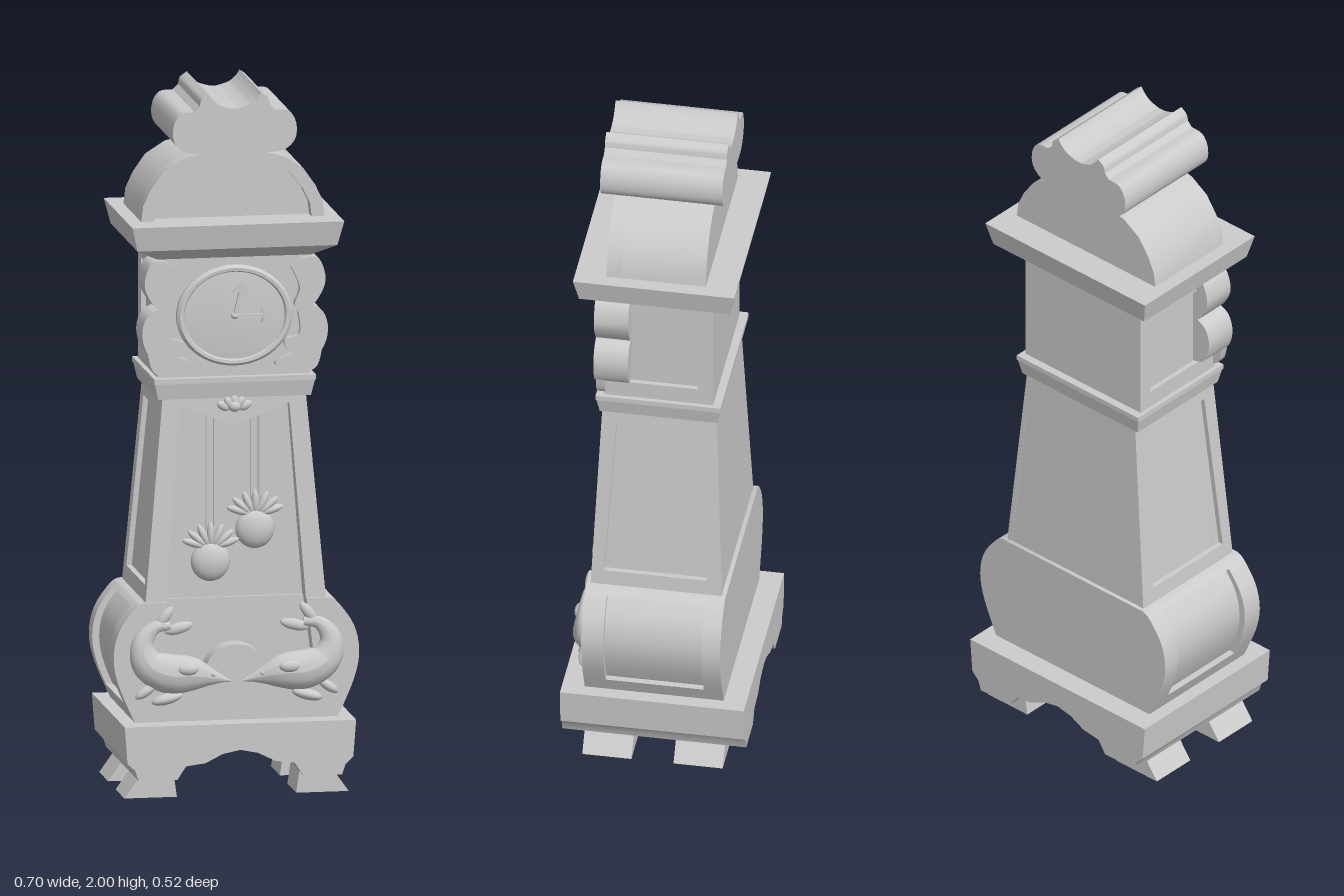
import * as THREE from 'three';
import { toCreasedNormals } from 'three/addons/utils/BufferGeometryUtils.js';

const material = new THREE.MeshStandardMaterial({ color: 0xcccccc, side: THREE.DoubleSide });
const lerp = THREE.MathUtils.lerp;
const V = (x, y, z) => new THREE.Vector3(x, y, z);
const poly = pts => new THREE.Shape(pts.map(p => new THREE.Vector2(p[0], p[1])));
const mirrored = pts => [...pts, ...pts.slice().reverse().map(([x, y]) => [-x, y])];
const smooth = (pts, n = 40) =>
  new THREE.SplineCurve(pts.map(p => new THREE.Vector2(p[0], p[1]))).getPoints(n).map(p => [p.x, p.y]);

export function createModel() {
  const root = new THREE.Group();

  const add = (name, geo, parent = root) => {
    const mesh = new THREE.Mesh(geo, material);
    mesh.name = name;
    parent.add(mesh);
    return mesh;
  };
  const remap = (geo, fn) => {
    const p = geo.attributes.position, v = V();
    for (let i = 0; i < p.count; i++) {
      fn(v.fromBufferAttribute(p, i));
      p.setXYZ(i, v.x, v.y, v.z);
    }
    geo.computeVertexNormals();
    return geo;
  };
  const extrude = (shape, z0, z1) => toCreasedNormals(
    new THREE.ExtrudeGeometry(shape, { depth: z1 - z0, bevelEnabled: false, curveSegments: 16 }).translate(0, 0, z0), 0.6);
  // Box whose bottom and top are given as [half width, front z, back z]
  const taper = (y0, y1, a, b) => remap(new THREE.BoxGeometry(2, 1, 1).toNonIndexed(), v => {
    const e = v.y > 0 ? b : a;
    v.set(v.x * e[0], v.y > 0 ? y1 : y0, v.z > 0 ? e[1] : e[2]);
  });
  // Side frame around a sunken panel; the outer face follows x = X(y)
  const sideFrame = (name, outer, hole, X, t) => {
    for (const s of [1, -1]) {
      const flip = pts => pts.map(([z, y]) => [-s * z, y]);
      const shape = poly(flip(outer));
      shape.holes.push(poly(flip(hole)));
      const geo = new THREE.ExtrudeGeometry(shape, { depth: t, bevelEnabled: false }).rotateY(s * Math.PI / 2);
      add(name, remap(geo, v => { v.x += s * (X(v.y) - t); }));
    }
  };
  const blob = (name, x, y, z, rx, ry, rz, turn = 0, parent = root) => {
    const m = add(name, new THREE.SphereGeometry(1, 20, 14), parent);
    m.position.set(x, y, z);
    m.scale.set(rx, ry, rz);
    m.rotation.z = turn;
    return m;
  };

  // Feet and arched base
  for (const s of [1, -1]) for (const z of [-0.2, 0.06])
    add('foot', extrude(poly([[0.17, 0], [0.32, 0], [0.27, 0.07], [0.18, 0.07]].map(([x, y]) => [s * x, y])), z, z + 0.14));
  add('base', extrude(poly(mirrored([
    [0, 0.14], [0.05, 0.13], [0.1, 0.105], [0.155, 0.098], [0.18, 0.06], [0.29, 0.06],
    [0.3, 0.09], [0.322, 0.11], [0.33, 0.215]])), -0.262, 0.262));

  // Bulging lower body with sunken sides and an open front
  const bulge = smooth([[0.29, 0.215], [0.335, 0.32], [0.35, 0.4], [0.335, 0.475], [0.29, 0.54], [0.265, 0.555]], 20);
  const inset = bulge.map(([x, y]) => [x - 0.02, y]);
  add('lowerBody', extrude(poly(mirrored(inset)), -0.15, 0.14));
  add('lowerBack', extrude(poly(mirrored(bulge)), -0.198, -0.145));
  const apron = [[0.2, 0.555], [0.22, 0.4], [0.2, 0.34], [0.1, 0.34]];
  for (let i = 0; i <= 8; i++) {
    const a = i / 8 * Math.PI / 2;
    apron.push([0.09 * Math.cos(a), 0.345 + 0.085 * Math.sin(a)]);
  }
  add('lowerFront', extrude(poly(mirrored([...bulge, ...apron])), 0.135, 0.198));
  for (const [name, from, to] of [['lowerRail', 0.21, 0.27], ['upperRail', 0.54, 0.56]])
    add(name, extrude(poly(mirrored(bulge.filter(p => p[1] >= from && p[1] <= to))), -0.15, 0.14));

  // Tapered waist with side panels and recessed front
  const at = (y, a, b) => lerp(a, b, (y - 0.555) / 0.575);
  const waistX = y => at(y, 0.257, 0.205), waistZ = y => at(y, 0.187, 0.163);
  add('waist', taper(0.55, 1.135, [0.242, 0.13, -0.186], [0.19, 0.13, -0.162]));
  sideFrame('waistSideFrame', [[-0.187, 0.555], [0.187, 0.555], [0.163, 1.13], [-0.163, 1.13]],
    [[-0.143, 0.6], [0.15, 0.6], [0.122, 1.09], [-0.118, 1.09]], waistX, 0.016);
  const surround = mirrored([[0.2, 0.555], [0.242, 0.555], [0.19, 1.13]]);
  surround.push([-0.2, 0.555], [-0.157, 1.11], [0, 1.05], [0.157, 1.11]);
  add('waistFrontSurround', remap(extrude(poly(surround), 0.12, 0.2), v => { if (v.z > 0.16) v.z = waistZ(v.y); }));

  // Shell under the middle moulding
  blob('shellCentre', 0, 1.105, 0.168, 0.018, 0.016, 0.014);
  for (let i = -2; i <= 2; i++)
    blob('shellRib', 0.016 * i, 1.118 - 0.003 * i * i, 0.165, 0.012, 0.02, 0.01, -0.5 * i);

  // Hanging weights with leafy tops
  for (const [x, y] of [[-0.065, 0.66], [0.062, 0.75]]) {
    const weight = new THREE.Group();
    weight.name = 'weight';
    weight.position.set(x, y, 0.145);
    root.add(weight);
    blob('weightBody', 0, 0, 0, 0.056, 0.057, 0.03, 0, weight);
    for (let i = -3; i <= 3; i++) {
      const a = i * 0.42;
      blob('weightLeaf', 0.05 * Math.sin(a), 0.042 + 0.035 * Math.cos(a), 0.005, 0.011, 0.035, 0.012, -a, weight);
    }
    const top = 1.1 - y;
    for (const dx of [-0.011, 0.011])
      add('cord', new THREE.CylinderGeometry(0.003, 0.003, top - 0.05, 8), weight).position.set(dx, top / 2 + 0.025, 0);
  }

  // Middle moulding, clock head and cornice
  add('middleMoulding', taper(1.13, 1.175, [0.218, 0.168, -0.168], [0.228, 0.176, -0.176]));
  add('middleMouldingTop', taper(1.175, 1.19, [0.23, 0.178, -0.178], [0.23, 0.178, -0.178]));
  add('head', taper(1.185, 1.54, [0.203, 0.155, -0.155], [0.203, 0.155, -0.155]));
  sideFrame('headSideFrame', [[-0.155, 1.19], [0.155, 1.19], [0.155, 1.535], [-0.155, 1.535]],
    [[-0.112, 1.24], [0.12, 1.24], [0.12, 1.485], [-0.112, 1.485]], () => 0.217, 0.016);
  add('corniceUnderside', taper(1.53, 1.565, [0.22, 0.16, -0.16], [0.285, 0.215, -0.215]));
  add('cornice', taper(1.565, 1.635, [0.285, 0.215, -0.215], [0.302, 0.23, -0.23]));

  // Scrolled brackets beside the dial
  for (const s of [1, -1]) {
    const side = pts => poly(smooth(pts).map(([x, y]) => [s * x, y]));
    add('upperScroll', extrude(side([[0.16, 1.5], [0.2, 1.525], [0.24, 1.52], [0.258, 1.46], [0.235, 1.405],
      [0.205, 1.38], [0.17, 1.39], [0.185, 1.44], [0.16, 1.5]]), 0.08, 0.178));
    add('lowerScroll', extrude(side([[0.18, 1.37], [0.21, 1.39], [0.25, 1.37], [0.265, 1.32], [0.25, 1.265],
      [0.215, 1.245], [0.165, 1.25], [0.14, 1.29], [0.185, 1.31], [0.18, 1.37]]), 0.08, 0.178));
    add('scrollTail', extrude(side([[0.25, 1.27], [0.235, 1.215], [0.2, 1.197], [0.15, 1.2], [0.115, 1.225],
      [0.16, 1.25], [0.25, 1.27]]), 0.15, 0.174));
  }

  // Oval dial with rim and hands
  const dial = new THREE.Group();
  dial.name = 'dial';
  dial.position.set(0, 1.365, 0.155);
  dial.scale.y = 0.87;
  root.add(dial);
  const face = [[0, 0.018], [0.1, 0.017], [0.143, 0.013], [0.147, 0.021], [0.157, 0.022], [0.165, 0.014], [0.165, -0.01]];
  const dialGeo = new THREE.LatheGeometry(face.map(p => new THREE.Vector2(...p)).reverse(), 48).rotateX(Math.PI / 2);
  add('dialFace', toCreasedNormals(dialGeo, 0.5), dial);
  for (const [angle, len] of [[-0.2, 0.115], [-Math.PI / 2, 0.115]]) {
    const hand = add('hand', extrude(poly(mirrored([[0.005, 0], [0.005, len - 0.035], [0.023, len - 0.04], [0, len]])), 0.012, 0.026), dial);
    hand.rotation.z = angle;
  }
  blob('handHub', 0, 0, 0.018, 0.011, 0.011, 0.01, 0, dial);

  // Rounded pediment with a raised front rim
  const arch = [[0.262, 1.63], [0.256, 1.68], [0.235, 1.725], [0.2, 1.775], [0.145, 1.81], [0.07, 1.83], [0, 1.835]];
  const inner = [[0.225, 1.63], [0.22, 1.675], [0.2, 1.715], [0.16, 1.765], [0.11, 1.79], [0.05, 1.8], [0, 1.8]];
  const rim = mirrored(arch.slice(0, -1)).concat(mirrored(inner.slice(0, -1)).reverse());
  add('pediment', extrude(poly(mirrored(arch)), -0.142, 0.1));
  add('pedimentRim', extrude(poly(rim), 0.095, 0.142));
  add('keystone', extrude(poly([[-0.075, 1.83], [0, 1.775], [0.075, 1.83], [0, 1.865]]), 0.09, 0.16));

  // Scrolled crest running front to back
  const crest = [
    ...smooth([[0, 1.857], [0.04, 1.84], [0.09, 1.83], [0.14, 1.835], [0.172, 1.865], [0.175, 1.91], [0.155, 1.945], [0.115, 1.95]], 28),
    ...smooth([[0.1, 1.965], [0.095, 1.985], [0.075, 2]], 6),
    ...smooth([[0.068, 1.988], [0.045, 1.968], [0.01, 1.957]], 8)];
  add('crest', extrude(poly(mirrored(crest.slice(1))), -0.174, 0.174));

  // Pair of dolphins facing the middle
  for (const s of [1, -1]) {
    const dolphin = new THREE.Group();
    dolphin.name = 'dolphin';
    root.add(dolphin);
    const path = new THREE.CatmullRomCurve3([[0.018, 0.327], [0.06, 0.337], [0.13, 0.35], [0.2, 0.355],
      [0.255, 0.385], [0.268, 0.44], [0.235, 0.485], [0.19, 0.49]].map(([x, y]) => V(s * x, y, 0.203)));
    const girth = new THREE.SplineCurve([0.003, 0.022, 0.046, 0.056, 0.054, 0.044, 0.032, 0.02, 0.012]
      .map((r, i) => new THREE.Vector2(i, r)));
    const n = 48, m = 16;
    const body = new THREE.TubeGeometry(path, n, 1, m);
    let k = 0;
    remap(body, v => {
      const t = Math.floor(k++ / (m + 1)) / n, c = path.getPointAt(t);
      v.sub(c).multiplyScalar(girth.getPoint(t).y);
      v.z *= 0.75;
      v.add(c);
    });
    add('dolphinBody', body, dolphin);
    blob('tailFluke', s * 0.165, 0.482, 0.2, 0.042, 0.016, 0.012, -s * 0.25, dolphin);
    blob('tailFluke', s * 0.205, 0.515, 0.2, 0.036, 0.015, 0.012, -s * 0.9, dolphin);
    blob('sideFin', s * 0.145, 0.37, 0.238, 0.03, 0.017, 0.014, 0, dolphin);
    blob('bellyFin', s * 0.2, 0.283, 0.208, 0.045, 0.016, 0.022, -s * 0.25, dolphin);
    blob('bellyFin', s * 0.26, 0.305, 0.205, 0.035, 0.014, 0.015, -s * 0.6, dolphin);
    blob('eye', s * 0.07, 0.35, 0.222, 0.006, 0.006, 0.006, 0, dolphin);
  }
  return root;
}
